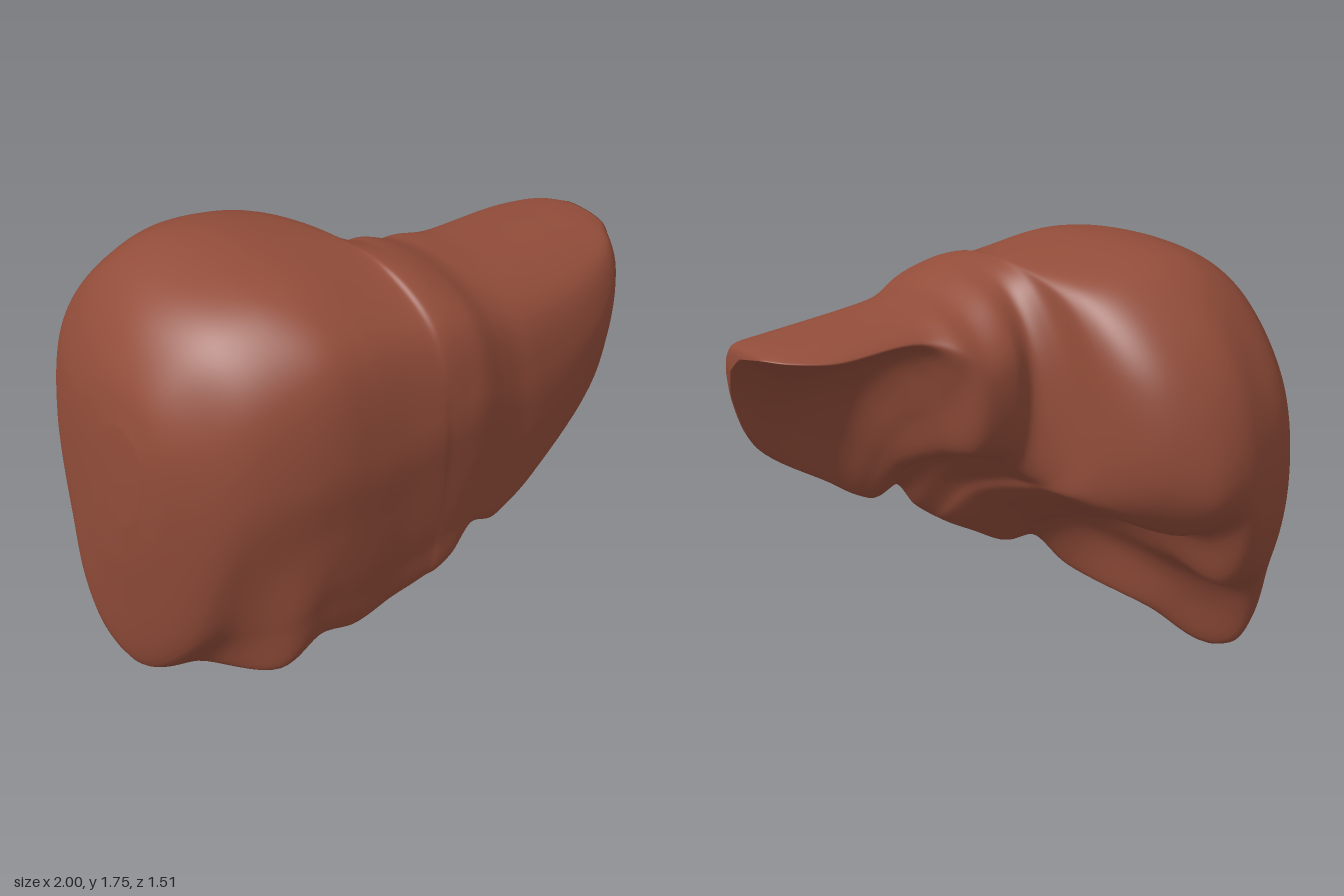
import * as THREE from 'three';

const { lerp, smoothstep } = THREE.MathUtils;

// Section shapes as fractions of depth (0 back, 1 front) and height (0 bottom, 1 top),
// running from the lower edge up the front, over the top, down the back and along the underside
const shapes = [
  // pointed tip of the right lobe
  { x: -0.86, zy: [.44, 0, .76, .17, .93, .41, 1, .66, .96, .84, .81, .96, .54, 1,
    .26, .94, .06, .79, 0, .57, .06, .31, .14, .13, .25, .03] },
  // hollow for the gallbladder
  { x: -0.62, zy: [.86, 0, .93, .17, .97, .4, 1, .62, .95, .85, .81, .965, .58, 1,
    .28, .96, .04, .68, .03, .35, .17, .16, .42, .17, .7, .14] },
  // thick right lobe
  { x: -0.42, zy: [.9, 0, .95, .15, .985, .39, 1, .6, .945, .86, .81, .967, .6, 1,
    .29, .965, .06, .73, 0, .41, .13, .28, .42, .23, .74, .11] },
  // bridge between the lobes
  { x: 0.15, zy: [.93, 0, .97, .15, 1, .4, 1, .63, .9, .88, .65, .99, .37, 1,
    .14, .93, 0, .77, 0, .51, .09, .35, .34, .29, .65, .19] },
  // thin left lobe, hollow below
  { x: 0.42, zy: [.94, 0, .98, .16, 1, .36, .975, .6, .87, .84, .64, .97, .36, 1,
    .13, .98, 0, .92, .14, .86, .36, .76, .6, .58, .81, .27] },
];

// Section at x, fitted between its bottom, top, back and front limits
function section([x, bottom, top, back, front]) {
  let k = 0;
  while (k < shapes.length - 2 && x > shapes[k + 1].x) k++;
  const [a, b] = [shapes[k], shapes[k + 1]];
  const t = smoothstep(x, a.x, b.x);
  const outline = a.zy.map((v, i) => lerp(v, b.zy[i], t));
  const ring = [];
  for (let i = 0; i < outline.length; i += 2) {
    ring.push(new THREE.Vector3(x, lerp(bottom, top, outline[i + 1]), lerp(back, front, outline[i])));
  }
  return ring;
}

// Smooth closed skin through the sections, capped at both ends
function loft(sections, along, around) {
  const rails = sections[0].map((_, k) => new THREE.CatmullRomCurve3(sections.map((s) => s[k])));
  const positions = [], index = [];
  for (let i = 0; i <= along; i++) {
    const ring = new THREE.CatmullRomCurve3(rails.map((r) => r.getPoint(i / along)), true);
    for (let j = 0; j < around; j++) positions.push(...ring.getPoint(j / around).toArray());
  }
  for (let i = 0; i < along; i++) {
    for (let j = 0; j < around; j++) {
      const k = (j + 1) % around;
      const a = i * around + j, b = a + around, c = (i + 1) * around + k, d = i * around + k;
      index.push(a, b, c, a, c, d);
    }
  }
  const cap = (start, x, flip) => {
    const centre = new THREE.Vector3();
    for (let j = 0; j < around; j++) {
      centre.add(new THREE.Vector3().fromArray(positions, (start + j) * 3));
    }
    centre.divideScalar(around);
    const c = positions.length / 3;
    positions.push(x, centre.y, centre.z);
    for (let j = 0; j < around; j++) {
      const a = start + j, b = start + (j + 1) % around;
      index.push(c, flip ? b : a, flip ? a : b);
    }
  };
  cap(0, -1, false);
  cap(along * around, 1, true);

  const geometry = new THREE.BufferGeometry();
  geometry.setAttribute('position', new THREE.Float32BufferAttribute(positions, 3));
  geometry.setIndex(index);
  geometry.computeVertexNormals();
  return geometry;
}

export function createModel() {
  const liverBrown = new THREE.MeshStandardMaterial({ color: 0x934d3a });
  liverBrown.name = 'liverBrown';

  // Each station: x, bottom, top, back, front
  const rightLobe = [
    [-0.998, .85, 1.25, -.03, .2],
    [-0.96, .5, 1.42, -.27, .32],
    [-0.86, .01, 1.59, -.54, .47],
    [-0.75, .1, 1.68, -.68, .57],
    [-0.6, .21, 1.735, -.74, .65],
    [-0.47, .36, 1.75, -.75, .69],
    [-0.34, .36, 1.745, -.73, .71],
    [-0.2, .43, 1.725, -.635, .725],
    [-0.12, .47, 1.71, -.53, .735],
  ];
  // Cleft at the back and notch in the lower edge
  const bridge = [
    [-0.07, .5, 1.7, -.4, .74],
    [-0.04, .52, 1.695, -.2, .74],
    [0.02, .57, 1.68, -.09, .745],
    [0.11, .68, 1.65, -.1, .75],
    [0.22, .65, 1.6, -.09, .74],
  ];
  const leftLobe = [
    [0.3, .68, 1.585, -.05, .735],
    [0.42, .76, 1.565, .04, .73],
    [0.78, 1.01, 1.54, .06, .66],
    [0.93, 1.26, 1.53, .13, .56],
    [0.995, 1.42, 1.52, .22, .44],
  ];

  const sections = [...rightLobe, ...bridge, ...leftLobe].map(section);
  const liver = new THREE.Mesh(loft(sections, 144, 130), liverBrown);
  liver.name = 'liver';

  const group = new THREE.Group();
  group.name = 'liverModel';
  group.add(liver);
  return group;
}
